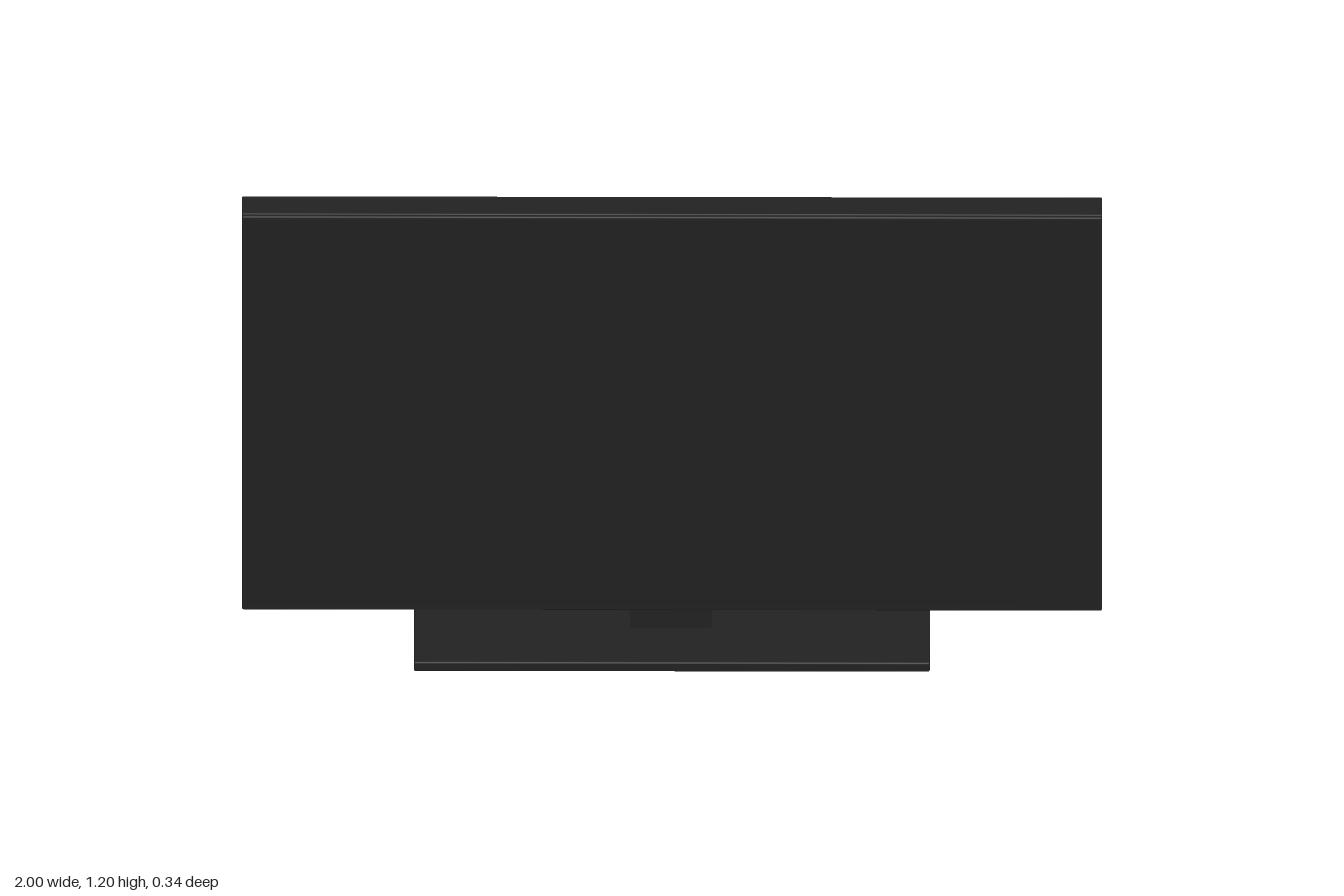
import * as THREE from 'three';
import { RoundedBoxGeometry } from 'three/addons/geometries/RoundedBoxGeometry.js';

export function createModel() {
  const model = new THREE.Group();
  model.name = 'television';

  const material = (name, color) => {
    const m = new THREE.MeshStandardMaterial({ color });
    m.name = name;
    return m;
  };
  const casing = material('casing black', 0x222222);
  const glass = material('screen black', 0x202020);

  // Softly edged box given by its extents on each axis
  const block = (name, mat, [x0, x1], [y0, y1], [z0, z1], radius) => {
    const geometry = new RoundedBoxGeometry(x1 - x0, y1 - y0, z1 - z0, 2, radius);
    const mesh = new THREE.Mesh(geometry, mat);
    mesh.name = name;
    mesh.position.set((x0 + x1) / 2, (y0 + y1) / 2, (z0 + z1) / 2);
    model.add(mesh);
    return mesh;
  };

  // Stand
  block('base', casing, [-0.6, 0.6], [0, 0.026], [-0.17, 0.17], 0.004);
  block('neck', casing, [-0.097, 0.093], [0.02, 0.095], [-0.026, 0.028], 0.003);

  // Rear housing, recessed seam and front frame
  block('housing', casing, [-1, 1], [0.086, 1.2], [-0.041, 0.032], 0.003);
  block('seam', casing, [-0.995, 0.995], [0.091, 1.195], [0.02, 0.038], 0.002);
  block('frontFrame', casing, [-1, 1], [0.086, 1.2], [0.034, 0.044], 0.004);

  // Screen nearly fills the frame, leaving a thin chin below
  const screen = new THREE.Mesh(new THREE.BoxGeometry(1.982, 1.09, 0.004), glass);
  screen.name = 'screen';
  screen.position.set(0, 0.647, 0.043);
  model.add(screen);

  return model;
}
